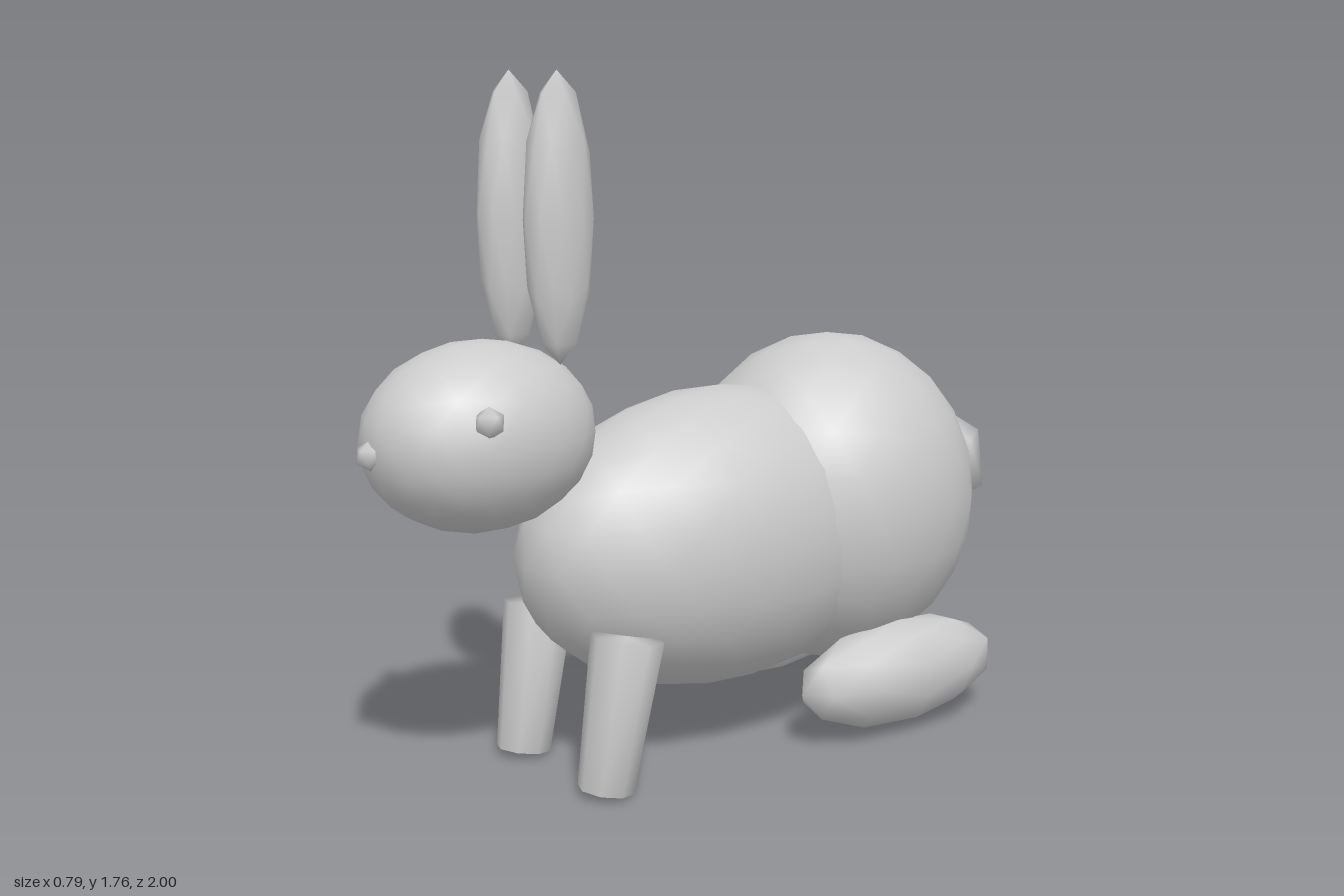
import * as THREE from 'three';
import { mergeVertices } from 'three/addons/utils/BufferGeometryUtils.js';

export function createModel() {
  const model = new THREE.Group();
  model.name = 'rabbit';
  const grey = new THREE.MeshStandardMaterial({ color: 0xcccccc });
  grey.name = 'greyFur';

  function add(name, geometry, x, y, z) {
    const mesh = new THREE.Mesh(geometry, grey);
    mesh.name = name;
    mesh.position.set(x, y, z);
    model.add(mesh);
    return mesh;
  }

  // Weld all corners so that shading runs smoothly over every edge
  function smooth(geometry) {
    geometry.deleteAttribute('uv');
    geometry.deleteAttribute('normal');
    const welded = mergeVertices(geometry, 1e-4);
    welded.computeVertexNormals();
    return welded;
  }

  // Smooth icosphere with a corner at each pole, stretched to the given radii
  function ellipsoid(detail, rx, ry, rz, poleAlongZ = false) {
    const g = new THREE.IcosahedronGeometry(1, detail);
    g.rotateZ(Math.atan(2 / (1 + Math.sqrt(5))));
    g.rotateY(Math.PI);
    if (poleAlongZ) g.rotateX(Math.PI / 2);
    g.scale(rx, ry, rz);
    return smooth(g);
  }

  // Torso, rump and head
  add('body', ellipsoid(3, 0.332, 0.395, 0.602), 0, 0.55, -0.05);
  add('rump', ellipsoid(3, 0.386, 0.452, 0.43), 0, 0.6, -0.44);
  add('head', ellipsoid(3, 0.232, 0.231, 0.3), 0, 0.9, 0.675);

  // Coarse tail and nose
  add('tail', ellipsoid(0, 0.163, 0.163, 0.163), 0, 0.648, -0.861);
  add('nose', ellipsoid(0, 0.036, 0.036, 0.036), 0, 0.888, 0.966);

  // Mirrored pairs
  for (const [label, s] of [['left', 1], ['right', -1]]) {
    add(label + 'Eye', ellipsoid(0, 0.038, 0.038, 0.038), s * 0.205, 0.972, 0.773);
    add(label + 'Ear', ellipsoid(1, 0.063, 0.345, 0.093), s * 0.102, 1.412, 0.508);
    add(label + 'HindFoot', ellipsoid(1, 0.125, 0.142, 0.346, true), s * 0.276, 0.158, -0.462);
    const leg = add(label + 'FrontLeg',
      smooth(new THREE.CylinderGeometry(0.092, 0.071, 0.385, 8)), s * 0.19, 0.203, 0.416);
    leg.rotation.set(-0.16, 0, s * -0.03);
  }
  return model;
}
